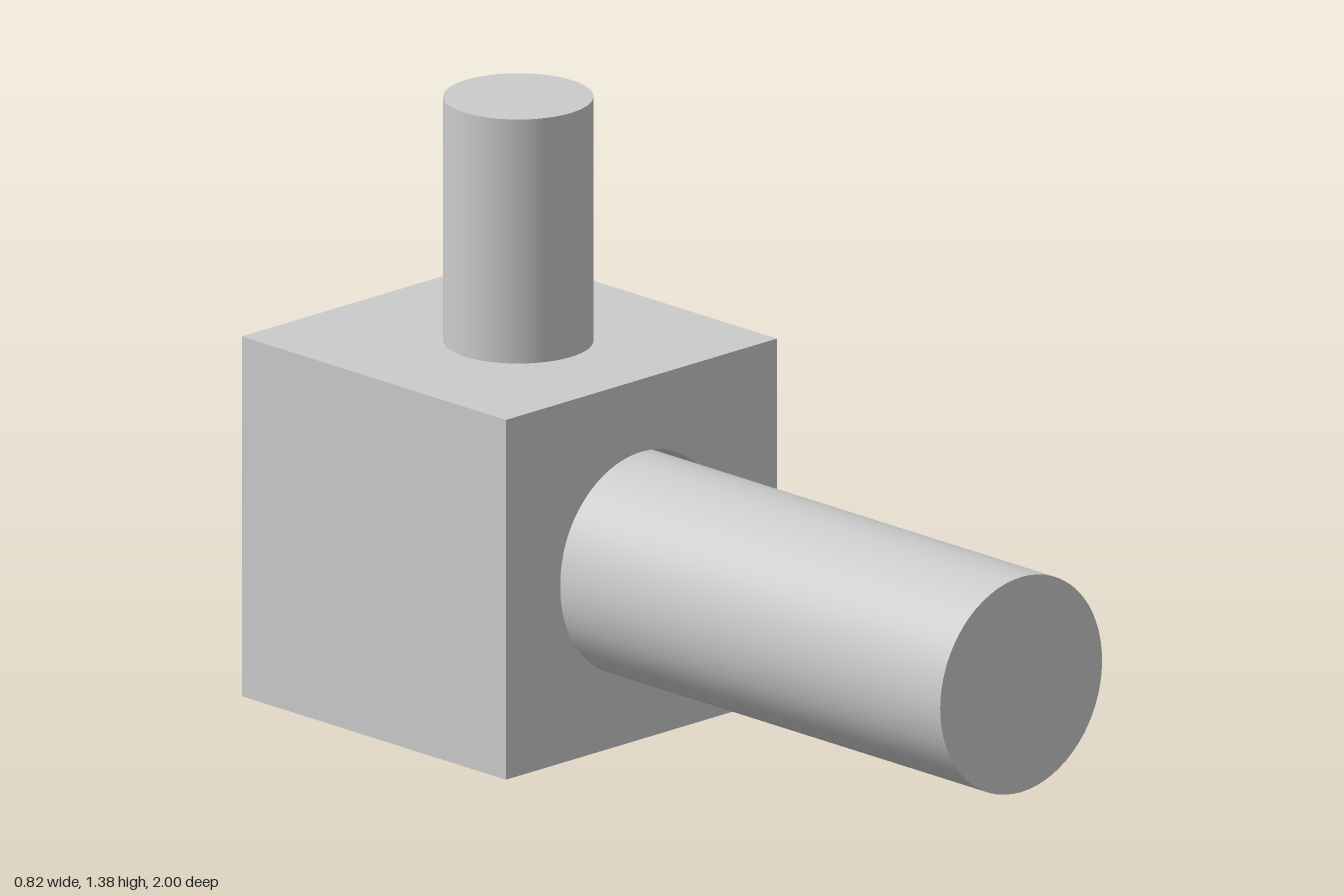
import * as THREE from 'three';
import { mergeGeometries } from 'three/addons/utils/BufferGeometryUtils.js';

const SIZE = 0.82, HALF = SIZE / 2;
const FRONT = -0.18, BACK = -1, MID = (FRONT + BACK) / 2;
const BORE_R = 0.245, SHAFT_Y = 0.398;
const SEGMENTS = 64;

export function createModel() {
  const group = new THREE.Group();
  const material = new THREE.MeshStandardMaterial({ color: 0xcccccc });
  const add = (name, geometry, mat = material) => {
    const mesh = new THREE.Mesh(geometry, mat);
    mesh.name = name;
    group.add(mesh);
    return mesh;
  };

  // Cube block: five box sides plus a front face pierced by the bore
  const box = new THREE.BoxGeometry(SIZE, SIZE, SIZE);
  const index = Array.from(box.index.array);
  index.splice(24, 6); // drop the plain front face
  box.setIndex(index);
  box.translate(0, HALF, MID);

  const face = new THREE.Shape([
    new THREE.Vector2(-HALF, 0), new THREE.Vector2(HALF, 0),
    new THREE.Vector2(HALF, SIZE), new THREE.Vector2(-HALF, SIZE),
  ]);
  face.holes.push(new THREE.Path().absarc(0, HALF, BORE_R, 0, Math.PI * 2, true));
  const front = new THREE.ShapeGeometry(face, SEGMENTS / 2).translate(0, 0, FRONT);
  add('block', mergeGeometries([box, front]));

  // Bore wall: slopes from the opening down onto the shaft
  const bore = new THREE.CylinderGeometry(BORE_R, BORE_R, HALF, SEGMENTS, 1, true);
  bore.rotateX(Math.PI / 2);
  const pos = bore.attributes.position;
  for (let i = 0; i < pos.count; i++) {
    pos.setY(i, pos.getY(i) + (pos.getZ(i) > 0 ? HALF : SHAFT_Y));
  }
  bore.translate(0, 0, FRONT - HALF / 2);
  bore.computeBoundingSphere();
  const inner = material.clone();
  inner.side = THREE.BackSide;
  add('boreWall', bore, inner);

  // Horizontal shaft, running into the middle of the block
  const shaftLength = 1 - MID;
  const shaft = new THREE.CylinderGeometry(BORE_R, BORE_R, shaftLength, SEGMENTS);
  shaft.rotateX(Math.PI / 2);
  add('shaft', shaft).position.set(0, SHAFT_Y, 1 - shaftLength / 2);

  // Upright post on top
  const postHeight = 1.376 - SIZE;
  const post = new THREE.CylinderGeometry(0.163, 0.163, postHeight, SEGMENTS);
  add('post', post).position.set(0, SIZE + postHeight / 2, -0.562);

  return group;
}
